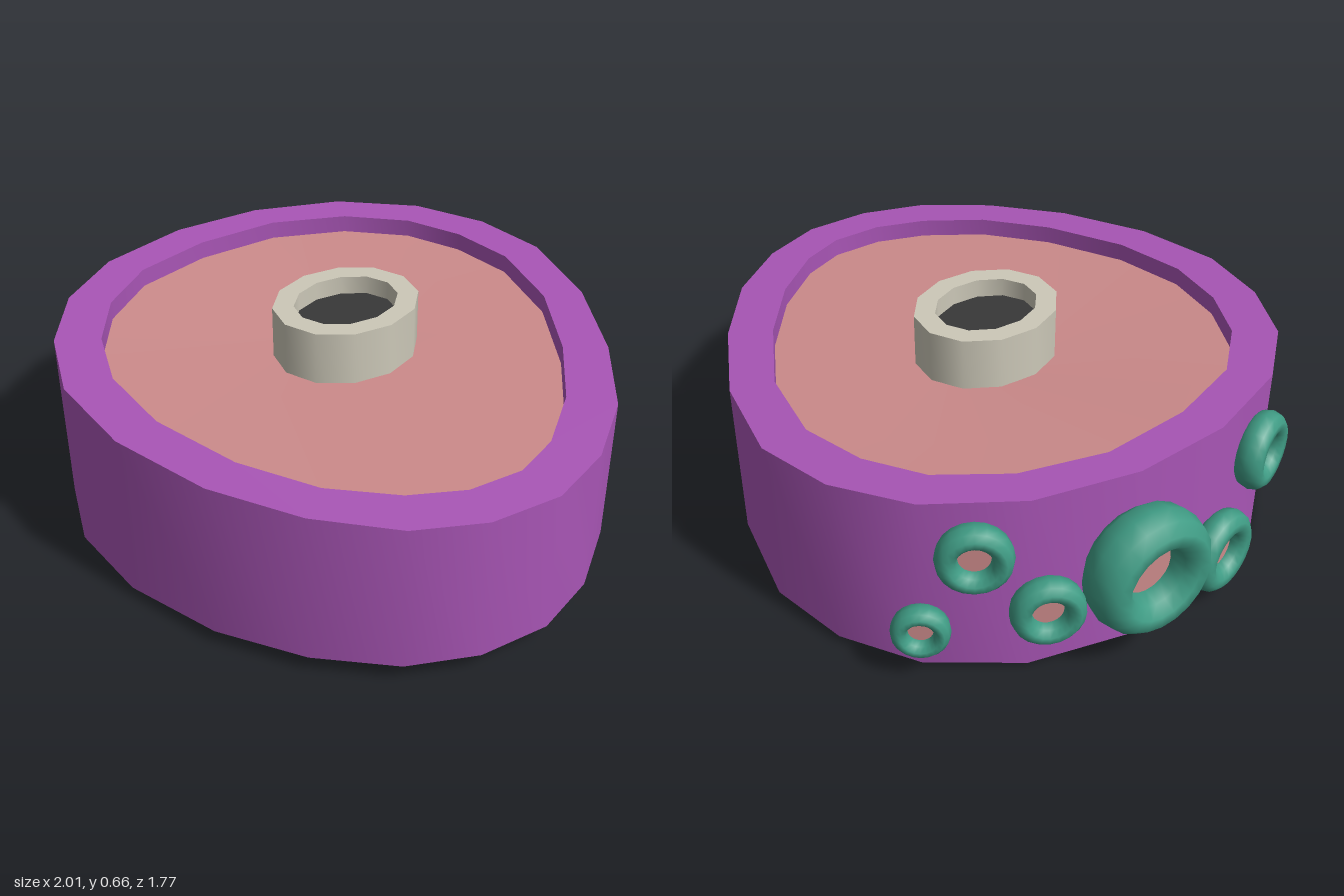
import * as THREE from 'three';
import { mergeGeometries } from 'three/addons/utils/BufferGeometryUtils.js';

const material = (name, color) => {
  const m = new THREE.MeshStandardMaterial({ color });
  m.name = name;
  return m;
};

// Outlines as [x, z], running from the back towards +x
const outer = [
  [-0.25, -0.88], [0.01, -0.89], [0.32, -0.77], [0.6, -0.57], [0.82, -0.35],
  [0.95, -0.12], [1.0, 0.1], [0.96, 0.32], [0.85, 0.51], [0.65, 0.68],
  [0.39, 0.81], [0.07, 0.88], [-0.24, 0.86], [-0.49, 0.75], [-0.69, 0.58],
  [-0.82, 0.35], [-0.87, 0.03], [-0.83, -0.28], [-0.7, -0.57], [-0.49, -0.78],
];
const inner = [
  [-0.23, -0.74], [-0.01, -0.75], [0.26, -0.65], [0.51, -0.46], [0.7, -0.26],
  [0.82, -0.06], [0.86, 0.1], [0.83, 0.27], [0.74, 0.42], [0.58, 0.57],
  [0.35, 0.68], [0.06, 0.74], [-0.2, 0.72], [-0.41, 0.63], [-0.58, 0.49],
  [-0.7, 0.29], [-0.74, 0.02], [-0.71, -0.27], [-0.59, -0.51], [-0.42, -0.67],
];
const ellipse = (rx, rz, n) => Array.from({ length: n }, (_, i) => {
  const t = (i / n) * Math.PI * 2;
  return [rx * Math.sin(t), -0.012 - rz * Math.cos(t)];
});

// The body narrows slightly towards +x
const topY = (x) => 0.57 - 0.036 * x;
const bottomY = (x) => 0.037 + 0.037 * x;
const ring = (outline, height) => outline.map(([x, z]) => [x, height(x), z]);

// Joins successive rings; each strip is smooth, edges between strips are sharp
function loft(rings) {
  const strips = [];
  for (let r = 0; r < rings.length - 1; r++) {
    const n = rings[r].length;
    const index = [];
    for (let i = 0; i < n; i++) {
      const j = (i + 1) % n;
      index.push(i, n + i, n + j, i, n + j, j);
    }
    const g = new THREE.BufferGeometry();
    g.setAttribute('position', new THREE.Float32BufferAttribute([...rings[r], ...rings[r + 1]].flat(), 3));
    g.setIndex(index);
    g.computeVertexNormals();
    strips.push(g);
  }
  return mergeGeometries(strips);
}

export function createModel() {
  const model = new THREE.Group();
  const purple = material('purple', 0xa855b5);
  const pink = material('dustyPink', 0xcb8a8a);
  const stone = material('stone', 0xccc8b8);
  const black = material('charcoal', 0x383838);
  const teal = material('teal', 0x3f9b84);

  const add = (name, geometry, mat, parent = model) => {
    const mesh = new THREE.Mesh(geometry, mat);
    mesh.name = name;
    parent.add(mesh);
    return mesh;
  };

  // Outer rim
  add('rim', loft([
    ring(outer, bottomY), ring(outer, topY), ring(inner, topY),
    ring(inner, bottomY), ring(outer, bottomY),
  ]), purple);

  // Recessed web, slightly dished towards the hub
  const core = ellipse(0.17, 0.2, inner.length);
  add('web', loft([
    ring(core, () => 0.11), ring(inner, (x) => bottomY(x) + 0.06),
    ring(inner, (x) => topY(x) - 0.06), ring(core, () => 0.495),
  ]), pink);

  // Hollow hub and the dark plug inside it
  const hubOuter = ellipse(0.21, 0.243, 12);
  const hubInner = ellipse(0.145, 0.175, 12);
  const low = () => 0.005;
  const high = () => 0.665;
  add('hub', loft([
    ring(hubOuter, low), ring(hubOuter, high), ring(hubInner, high),
    ring(hubInner, low), ring(hubOuter, low),
  ]), stone);
  const plug = ellipse(0.147, 0.177, 24);
  const centre = ellipse(0, 0, 24);
  add('plug', loft([
    ring(centre, () => 0.065), ring(plug, () => 0.065),
    ring(plug, () => 0.605), ring(centre, () => 0.605),
  ]), black);

  // Suckers on the side: x, y, z, outer radius, half depth, facing [x, z]
  const suckers = [
    [-0.895, 0.32, -0.31, 0.195, 0.085, [-0.97, -0.23]],
    [-0.905, 0.175, 0.035, 0.132, 0.045, [-1, 0.03]],
    [-0.87, 0.405, 0.255, 0.123, 0.045, [-0.98, 0.18]],
    [-0.625, 0.44, -0.705, 0.108, 0.045, [-0.72, -0.7]],
    [-0.755, 0.24, -0.555, 0.108, 0.045, [-0.8, -0.6]],
    [-0.51, 0.17, -0.8, 0.085, 0.038, [-0.68, -0.73]],
  ];
  for (const [x, y, z, r, depth, [nx, nz]] of suckers) {
    const sucker = new THREE.Group();
    sucker.name = 'sucker';
    sucker.position.set(x, y, z);
    sucker.rotation.y = Math.atan2(nx, nz);
    const tube = r * 0.29;
    const lip = add('suckerRing', new THREE.TorusGeometry(r - tube, tube, 10, 20), teal, sucker);
    lip.scale.z = depth / tube;
    add('suckerCup', new THREE.CircleGeometry(r - tube, 20), pink, sucker);
    model.add(sucker);
  }
  return model;
}
